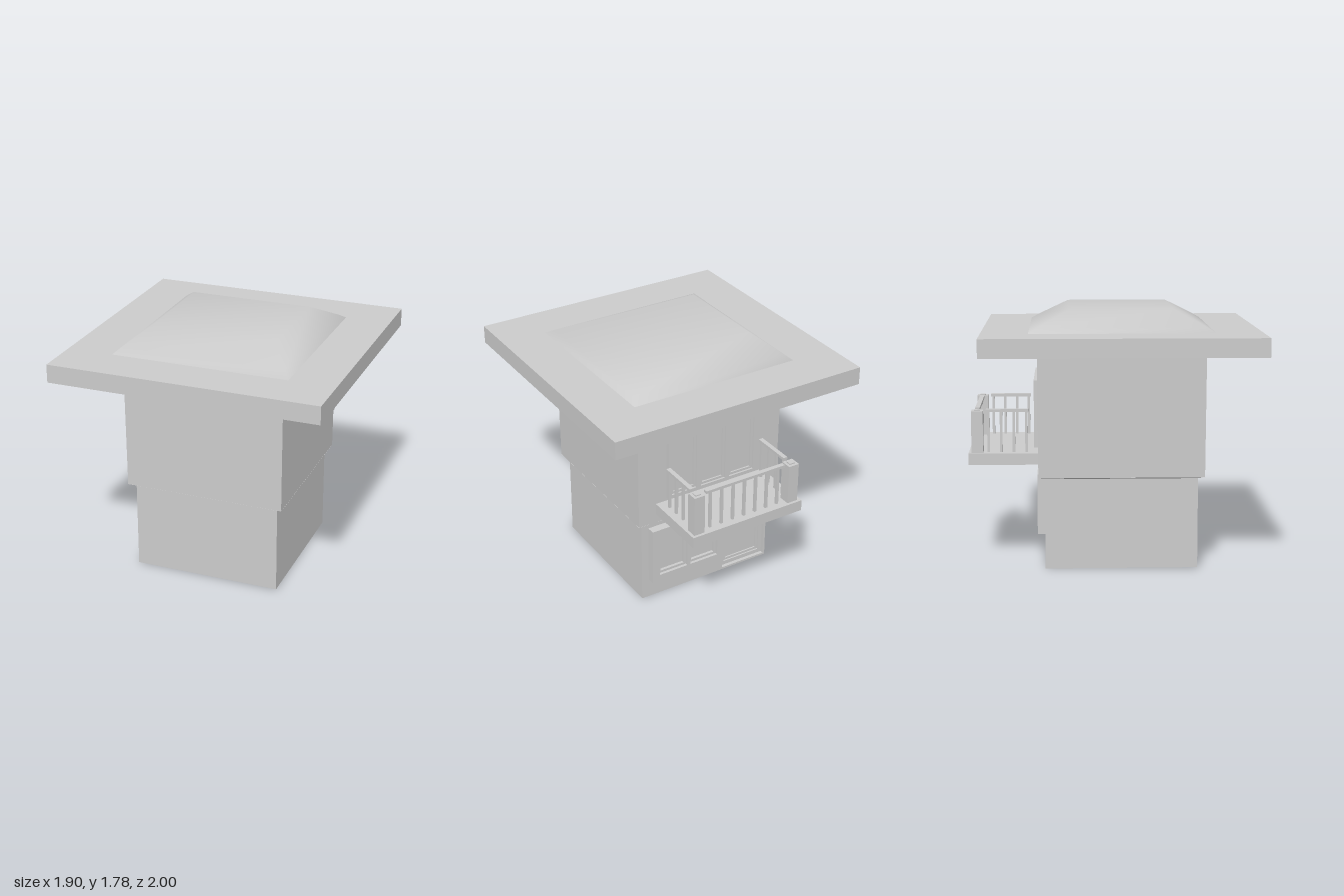
import * as THREE from 'three';

const grey = new THREE.MeshStandardMaterial({ color: 0xcccccc });
const greyDouble = new THREE.MeshStandardMaterial({ color: 0xcccccc, side: THREE.DoubleSide });
const CZ = 0.05; // depth centre of the tower and roof

function add(parent, name, geometry, material = grey) {
  const mesh = new THREE.Mesh(geometry, material);
  mesh.name = name;
  parent.add(mesh);
  return mesh;
}

// Box given by its limits on each axis
function box(parent, name, x0, x1, y0, y1, z0, z1) {
  const mesh = add(parent, name, new THREE.BoxGeometry(x1 - x0, y1 - y0, Math.abs(z1 - z0)));
  mesh.position.set((x0 + x1) / 2, (y0 + y1) / 2, (z0 + z1) / 2);
  return mesh;
}

// Square block whose half width changes from bottom to top
function taperedBlock(parent, name, half0, half1, y0, y1) {
  const geo = new THREE.BoxGeometry(2, y1 - y0, 2);
  const p = geo.attributes.position;
  for (let i = 0; i < p.count; i++) {
    const s = p.getY(i) > 0 ? half1 : half0;
    p.setXYZ(i, p.getX(i) * s, p.getY(i), p.getZ(i) * s);
  }
  geo.computeVertexNormals();
  add(parent, name, geo).position.set(0, (y0 + y1) / 2, CZ);
}

const rectPoints = ([x0, x1, y0, y1]) => [
  new THREE.Vector2(x0, y0), new THREE.Vector2(x1, y0),
  new THREE.Vector2(x1, y1), new THREE.Vector2(x0, y1),
];

// Rectangular plate with rectangular openings, zOut is the face toward the back
function plate(parent, name, outer, openings, zOut, zIn) {
  const shape = new THREE.Shape(rectPoints(outer));
  for (const o of openings) shape.holes.push(new THREE.Path(rectPoints(o).reverse()));
  const geo = new THREE.ExtrudeGeometry(shape, { depth: zIn - zOut, bevelEnabled: false });
  add(parent, name, geo).position.z = zOut;
}

const inset = ([x0, x1, y0, y1], d) => [x0 + d, x1 - d, y0 + d, y1 - d];

// Frame with a row of equal sashes, each holding a set-back pane
function casement(parent, name, outer, border, gap, count, zOut, zIn) {
  const group = new THREE.Group();
  group.name = name;
  parent.add(group);
  const [x0, x1, y0, y1] = inset(outer, border);
  const w = (x1 - x0 - gap * (count - 1)) / count;
  const openings = [];
  for (let i = 0; i < count; i++) {
    const a = x0 + i * (w + gap);
    openings.push([a, a + w, y0, y1]);
  }
  plate(group, 'frame', outer, openings, zOut, zIn);
  const d = zIn - zOut;
  for (const o of openings) {
    plate(group, 'sash', o, [inset(o, 0.018)], zOut + d * 0.35, zIn);
    box(group, 'pane', ...o, zOut + d * 0.7, zIn);
  }
}

// Smooth hipped crown from rectangular rings [halfX, halfZ, y]
function crown(parent, rings) {
  const pos = [], index = [];
  for (const [hx, hz, y] of rings)
    pos.push(-hx, y, CZ + hz, hx, y, CZ + hz, hx, y, CZ - hz, -hx, y, CZ - hz);
  for (let r = 0; r < rings.length - 1; r++)
    for (let i = 0; i < 4; i++) {
      const a = r * 4 + i, b = r * 4 + (i + 1) % 4;
      index.push(a, b, b + 4, a, b + 4, a + 4);
    }
  const t = (rings.length - 1) * 4;
  index.push(t, t + 1, t + 2, t, t + 2, t + 3);
  const geo = new THREE.BufferGeometry();
  geo.setAttribute('position', new THREE.Float32BufferAttribute(pos, 3));
  geo.setIndex(index);
  geo.computeVertexNormals();
  add(parent, 'roofCrown', geo);
}

function lowerStorey() {
  const g = new THREE.Group();
  g.name = 'lowerStorey';
  const h = 0.525, top = 0.64;
  // Front and side walls, open underneath
  for (const turn of [0, 1, -1]) {
    const geo = new THREE.PlaneGeometry(2 * h, top).translate(0, top / 2, h).rotateY(turn * Math.PI / 2);
    add(g, 'wall', geo, greyDouble).position.z = CZ;
  }
  // Back wall with a recessed door
  const door = [-0.51, -0.15, 0.015, 0.6];
  plate(g, 'backWall', [-h, h, 0, top], [door], CZ - h, CZ - h + 0.05);
  casement(g, 'door', door, 0.03, 0, 1, CZ - h + 0.025, CZ - h + 0.055);
  // Projecting double window
  casement(g, 'bayWindow', [-0.12, 0.47, 0.145, 0.58], 0.055, 0.025, 2, -0.535, -0.475);
  return g;
}

function upperStorey() {
  const g = new THREE.Group();
  g.name = 'upperStorey';
  taperedBlock(g, 'bevel', 0.525, 0.57, 0.63, 0.645);
  taperedBlock(g, 'upperWalls', 0.569, 0.573, 0.645, 1.51);
  casement(g, 'balconyDoors', [-0.365, 0.35, 0.82, 1.29], 0.025, 0.035, 3, -0.55, -0.515);
  return g;
}

function balcony() {
  const g = new THREE.Group();
  g.name = 'balcony';
  box(g, 'balconyFloor', -0.44, 0.435, 0.715, 0.795, -1, -0.515);
  const baluster = (x, z) => box(g, 'baluster', x - 0.009, x + 0.009, 0.795, 1.08, z - 0.009, z + 0.009);
  // Corner posts and side railings
  for (const s of [-1, 1]) {
    const x = s * 0.375;
    box(g, 'post', x - 0.04, x + 0.04, 0.795, 1.085, -0.98, -0.9);
    box(g, 'postCap', x - 0.02, x + 0.02, 1.085, 1.093, -0.96, -0.92);
    box(g, 'sideRail', x - 0.016, x + 0.016, 1.075, 1.095, -0.88, -0.585);
    for (let i = 0; i < 4; i++) baluster(x, -0.602 - i * 0.087);
  }
  // Outer railing
  box(g, 'outerRail', -0.315, 0.31, 1.075, 1.095, -0.957, -0.925);
  for (let i = -3; i <= 3; i++) baluster(i * 0.09, -0.941);
  return g;
}

function roof() {
  const g = new THREE.Group();
  g.name = 'roof';
  box(g, 'roofSlab', -0.95, 0.95, 1.508, 1.636, -0.9, 1);
  crown(g, [[0.625, 0.63, 1.636], [0.583, 0.57, 1.672], [0.442, 0.358, 1.782]]);
  return g;
}

export function createModel() {
  const model = new THREE.Group();
  model.name = 'tower';
  model.add(lowerStorey(), upperStorey(), balcony(), roof());
  return model;
}
